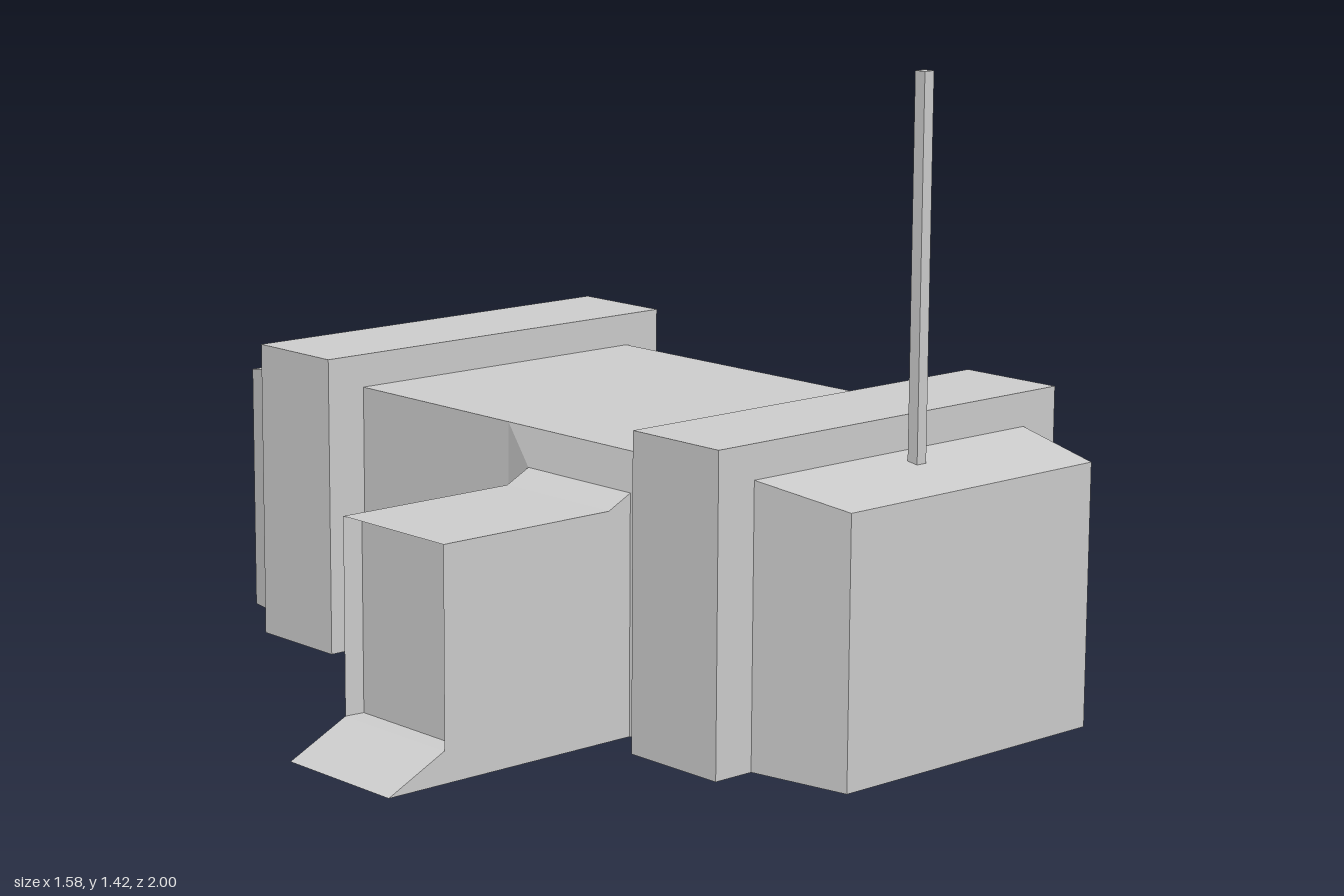
import * as THREE from 'three';

const material = new THREE.MeshStandardMaterial({ color: 0xcccccc, flatShading: true, side: THREE.DoubleSide });

// Mesh from a list of quads (or triangles), each a list of [x, y, z] corners
function facesMesh(name, faces) {
  const positions = [];
  for (const f of faces) {
    for (let i = 1; i < f.length - 1; i++) positions.push(...f[0], ...f[i], ...f[i + 1]);
  }
  const geometry = new THREE.BufferGeometry();
  geometry.setAttribute('position', new THREE.Float32BufferAttribute(positions, 3));
  geometry.computeVertexNormals();
  const mesh = new THREE.Mesh(geometry, material);
  mesh.name = name;
  return mesh;
}

// Arch-shaped cross-section: right foot, right top, left top, left foot
const arch = ([z, x0, x1, top, y0 = 0]) => [[x0, y0, z], [x0, top, z], [x1, top, z], [x1, y0, z]];

// Skin between consecutive arches; sides 0 = right wall, 1 = roof, 2 = left wall
function skin(sections, skip = () => false) {
  const faces = [];
  const loops = sections.map(arch);
  for (let s = 0; s < loops.length - 1; s++) {
    const a = loops[s], b = loops[s + 1];
    for (let i = 0; i < 3; i++) {
      if (!skip(s, i)) faces.push([a[i], a[i + 1], b[i + 1], b[i]]);
    }
  }
  return faces;
}

export function createModel() {
  const group = new THREE.Group();
  const body = [-0.12, 0.69, 0.614], collar = [-0.22, 0.79, 0.69], end = [-0.077, 0.645, 0.58];

  // Front cap, tapered end and front collar: hollow and open underneath
  const front = [[1, ...end], [0.768, ...body], [0.768, ...collar], [0.513, ...collar], [0.513, ...body]];
  group.add(facesMesh('frontSection', [arch(front[0]).reverse(), ...skin(front)]));

  // Middle hall; the right wall is left out where the porch joins
  const middle = [[0.513, ...body], [0, ...body], [-0.513, ...body]];
  group.add(facesMesh('middleHall', skin(middle, (s, i) => s === 0 && i === 0)));

  // Back collar, tapered end and shallow recessed back panel
  const back = [[-0.513, ...body], [-0.513, ...collar], [-0.768, ...collar], [-0.768, ...body],
    [-1, ...end], [-0.96, end[0] + 0.09, end[1] - 0.09, 0.53, 0.13]];
  const rim = arch(back[4]), panel = arch(back[5]);
  group.add(facesMesh('backSection', [...skin(back), [rim[3], rim[0], panel[0], panel[3]], panel]));

  // Flared surround where the porch meets the hall
  const zs = [0.09, 0.418], xw = body[0], xf = -0.14, yf = 0.53;
  const outer = [[xw, 0, 0], [xw, body[2], 0], [xw, body[2], 0.513], [xw, 0, 0.513]];
  const inner = [[xf, 0, zs[0]], [xf, yf, zs[0]], [xf, yf, zs[1]], [xf, 0, zs[1]]];
  const flare = [0, 1, 2].map(i => [outer[i], inner[i], inner[i + 1], outer[i + 1]]);
  group.add(facesMesh('porchSurround', flare));

  // Porch tunnel with a recessed door, swept outwards along -x
  const ring = (x, top, inset = 0, y0 = 0) => [
    [x, y0, zs[0] + inset], [x, top, zs[0] + inset], [x, top, zs[1] - inset], [x, y0, zs[1] - inset]];
  const rings = [inner, ring(-0.2, 0.5), ring(-0.645, 0.5)];
  const porch = [];
  for (let s = 0; s < 2; s++) {
    for (let i = 0; i < 3; i++) porch.push([rings[s][i], rings[s + 1][i], rings[s + 1][i + 1], rings[s][i + 1]]);
  }
  const frame = ring(-0.645, 0.5, 0, 0.07), door = ring(-0.6, 0.488, 0.005, 0.07);
  for (let i = 0; i < 4; i++) {
    const j = (i + 1) % 4;
    porch.push([frame[i], door[i], door[j], frame[j]]);
  }
  porch.push([...door]);
  group.add(facesMesh('porch', porch));

  // Sloping ramp at the door
  const [a, b] = zs.map(z => [[-0.645, 0.07, z], [-0.79, 0, z], [-0.645, 0, z]]);
  group.add(facesMesh('ramp', [[a[0], a[1], b[1], b[0]], [a[0], a[2], a[1]], [b[0], b[1], b[2]]]));

  // Mast
  const mast = new THREE.Mesh(new THREE.BoxGeometry(0.027, 0.82, 0.027), material);
  mast.name = 'mast';
  mast.position.set(0.285, 1.01, 0.835);
  group.add(mast);

  return group;
}
